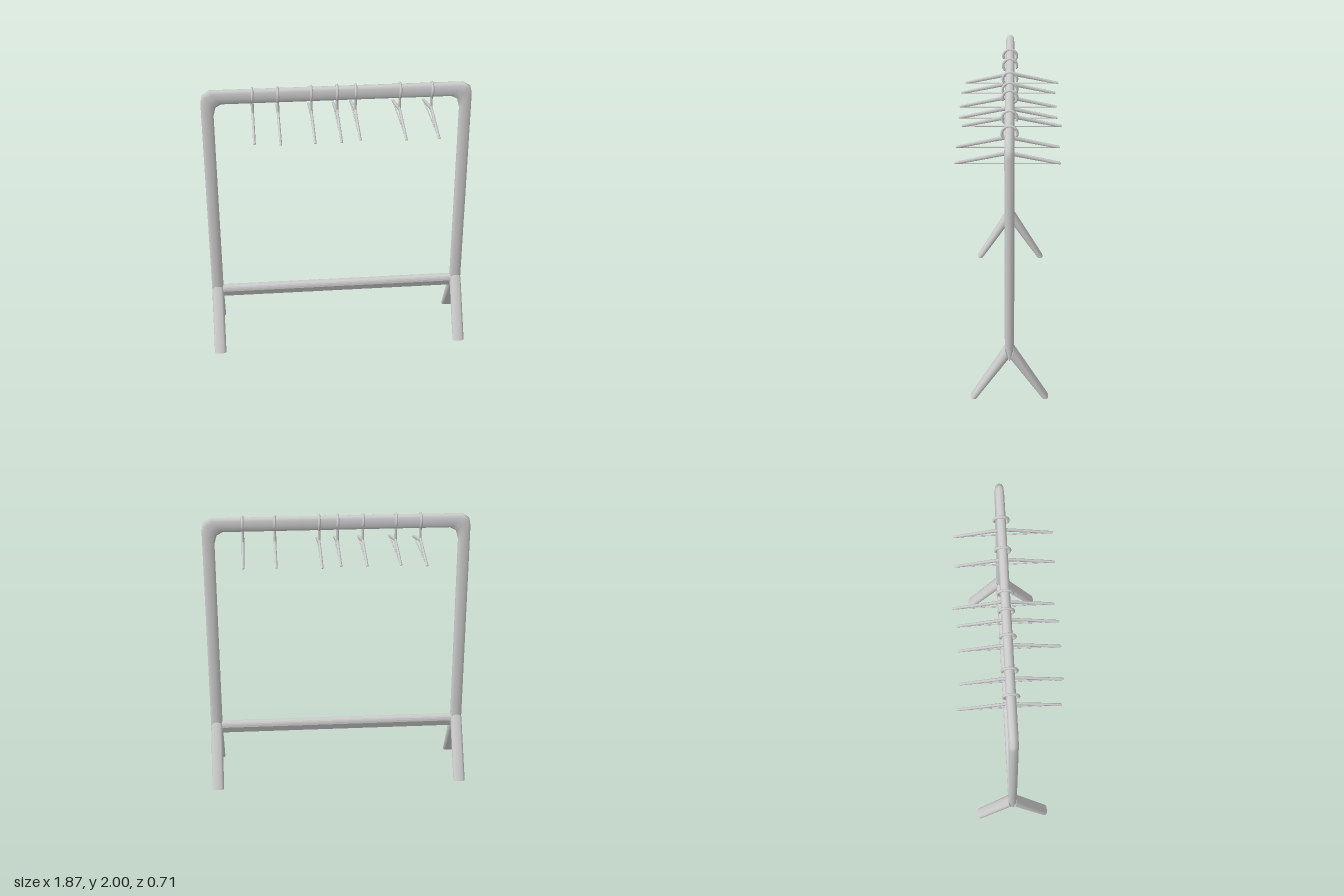
import * as THREE from 'three';

const material = new THREE.MeshStandardMaterial({ color: 0xcccccc });

// Lofts a rounded section along stations [outerU, outerV, innerU, innerV, halfWidth]
// lying in the xy plane; outer must be to the left of the travel direction.
function loft(stations, sides = 12, power = 0.75) {
  const pos = [], index = [];
  const soft = (t) => Math.sign(t) * Math.pow(Math.abs(t), power);
  const rings = stations.map(([ou, ov, iu, iv, w]) => {
    const ring = [];
    for (let k = 0; k < sides; k++) {
      const a = (k / sides) * Math.PI * 2;
      const c = soft(Math.cos(a)), s = soft(Math.sin(a));
      ring.push([(ou + iu) / 2 + ((ou - iu) / 2) * c, (ov + iv) / 2 + ((ov - iv) / 2) * c, w * s]);
    }
    return ring;
  });
  rings.forEach((r) => r.forEach((p) => pos.push(...p)));
  for (let i = 0; i < rings.length - 1; i++) {
    for (let k = 0; k < sides; k++) {
      const a = i * sides + k, b = i * sides + ((k + 1) % sides);
      index.push(a, b, b + sides, a, b + sides, a + sides);
    }
  }
  // End caps with their own vertices
  [[rings[0], true], [rings[rings.length - 1], false]].forEach(([ring, flip]) => {
    const base = pos.length / 3;
    ring.forEach((p) => pos.push(...p));
    for (let k = 1; k < sides - 1; k++) {
      if (flip) index.push(base, base + k + 1, base + k);
      else index.push(base, base + k, base + k + 1);
    }
  });
  const geo = new THREE.BufferGeometry();
  geo.setAttribute('position', new THREE.Float32BufferAttribute(pos, 3));
  geo.setIndex(index);
  geo.computeVertexNormals();
  return geo;
}

function part(geo, name) {
  const m = new THREE.Mesh(geo, material);
  m.name = name;
  return m;
}

// Uprights and top rail: one bent tube, with tapered crotches at the bottom
function frameGeometry() {
  const w = 0.032;
  const half = [
    [-0.937, 0.34, -0.852, 0.34, 0.008],
    [-0.937, 0.43, -0.852, 0.43, w],
    [-0.937, 0.43, -0.852, 0.43, w],
    [-0.937, 1.9, -0.852, 1.8, w],
    [-0.924, 1.957, -0.836, 1.862, w],
    [-0.877, 1.987, -0.79, 1.886, w],
  ];
  const other = half.map(([a, b, c, d, e]) => [-a, b, -c, d, e]).reverse();
  return loft([...half, ...other]);
}

// Splayed leg running down and out towards +z
function legGeometry() {
  return loft([
    [0.032, 0.435, 0.006, 0.338, 0.0425],
    [0.272, 0, 0.225, 0, 0.0425],
  ]).rotateY(-Math.PI / 2);
}

// Low stretcher: rounded top, narrower flat underside
function stretcherGeometry() {
  const s = new THREE.Shape();
  s.moveTo(-0.012, 0.34);
  s.lineTo(0.012, 0.34);
  s.lineTo(0.032, 0.388);
  s.quadraticCurveTo(0.032, 0.43, 0, 0.43);
  s.quadraticCurveTo(-0.032, 0.43, -0.032, 0.388);
  s.closePath();
  const geo = new THREE.ExtrudeGeometry(s, { depth: 1.72, bevelEnabled: false, curveSegments: 5 });
  return geo.translate(0, 0, -0.86).rotateY(Math.PI / 2);
}

// Hook: most of a ring, then a short neck into the arms
class HookCurve extends THREE.Curve {
  getPoint(t, target = new THREE.Vector3()) {
    const r = 0.049, y = 1.941;
    if (t < 0.2) return target.set(0, THREE.MathUtils.lerp(1.805, y - r, t / 0.2), 0);
    const a = -Math.PI / 2 + ((t - 0.2) / 0.8) * Math.PI * 1.6;
    return target.set(0, y + r * Math.sin(a), r * Math.cos(a));
  }
}

function hanger() {
  const g = new THREE.Group();
  const w = 0.009;
  const shift = 0.0125;
  const side = [
    [-0.343, 1.731, -0.343, 1.724, 0.004],
    [-0.337, 1.735, -0.337, 1.721, w],
    [-0.31, 1.743, -0.31, 1.722, w],
    [-0.03, 1.811, -0.03, 1.779, w],
  ];
  const mirrored = side.map(([a, b, c, d, e]) => [-a, b, -c, d, e]).reverse();
  const arms = part(loft([...side, [0, 1.819, 0, 1.785, w], ...mirrored], 8), 'hangerArms');
  arms.geometry.rotateY(-Math.PI / 2).translate(0, 0, shift);
  const bar = part(new THREE.CylinderGeometry(0.004, 0.004, 0.66, 6), 'hangerBar');
  bar.geometry.rotateX(Math.PI / 2).translate(0, 1.725, shift);
  const hook = part(new THREE.TubeGeometry(new HookCurve(), 36, 0.0095, 8), 'hangerHook');
  const tip = part(new THREE.SphereGeometry(0.0095, 8, 6), 'hookTip');
  tip.position.copy(new HookCurve().getPoint(1));
  g.add(arms, bar, hook, tip);
  return g;
}

export function createModel() {
  const model = new THREE.Group();
  model.name = 'clothesRack';
  model.add(part(frameGeometry(), 'frame'), part(stretcherGeometry(), 'stretcher'));

  const legGeo = legGeometry();
  for (const x of [-0.8945, 0.8945]) {
    for (const turn of [0, Math.PI]) {
      const leg = part(legGeo, turn ? 'backLeg' : 'frontLeg');
      leg.position.x = x;
      leg.rotation.y = turn;
      model.add(leg);
    }
  }

  // Hangers along the rail, two of them turned around
  const spots = [[-0.584, 1], [-0.41, 0], [-0.18, 0], [-0.003, 0], [0.125, 1], [0.433, 0], [0.655, 0]];
  spots.forEach(([x, turned]) => {
    const h = hanger();
    h.name = 'hanger';
    h.position.x = x;
    h.rotation.y = turned ? Math.PI : 0;
    model.add(h);
  });
  return model;
}
